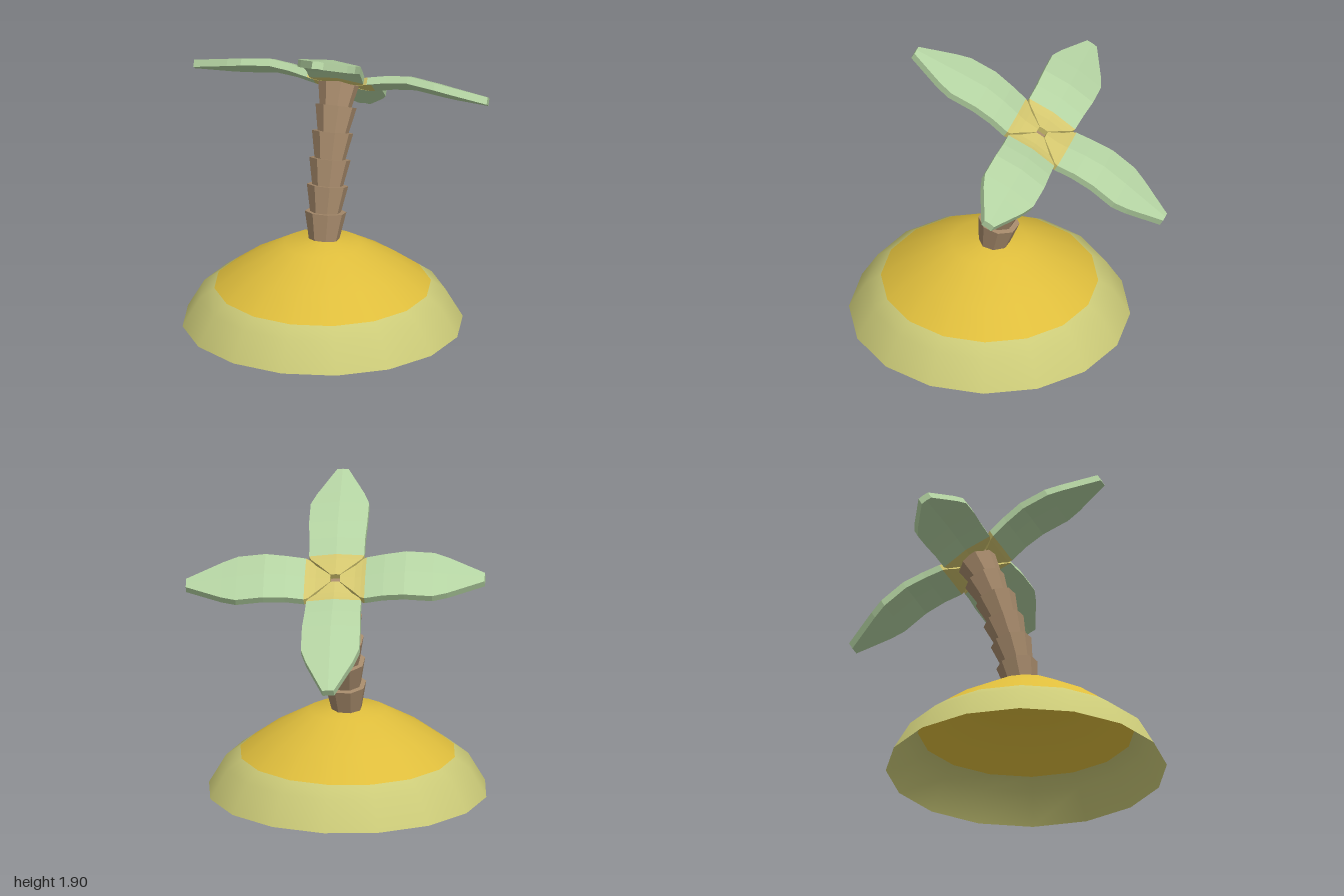
import * as THREE from 'three';

const mat = (name, color, extra = {}) => new THREE.MeshStandardMaterial({ name, color, ...extra });

export function createModel() {
  const wetSand = mat('paleSand', 0xcbca78, { side: THREE.DoubleSide });
  const drySand = mat('goldenSand', 0xdebd3c, { side: THREE.DoubleSide });
  const bark = mat('bark', 0xa68a6b, { flatShading: true });
  const leafGreen = mat('leafGreen', 0xb4d3a2, { flatShading: true });
  const leafBase = mat('leafBaseYellow', 0xd3c66e, { flatShading: true });

  const model = new THREE.Group();
  model.name = 'palmIsland';
  const add = (parent, name, geo, material) => {
    const m = new THREE.Mesh(geo, material);
    m.name = name;
    parent.add(m);
    return m;
  };

  // Hollow sand mound: pale skirt and golden top
  const island = new THREE.Group();
  island.name = 'island';
  island.position.set(-0.02, 0, 0.145);
  model.add(island);
  const lathe = pts => new THREE.LatheGeometry(pts.map(p => new THREE.Vector2(...p)), 16);
  add(island, 'moundSkirt', lathe([[0.855, 0], [0.75, 0.18], [0.661, 0.245]]), wetSand);
  add(island, 'moundTop', lathe([[0.661, 0.245], [0.49, 0.37], [0.235, 0.515], [0, 0.545]]), drySand);

  // Trunk: stacked flared segments leaning back; [top y, top z, lean]
  const trunk = new THREE.Group();
  trunk.name = 'trunk';
  model.add(trunk);
  [
    [0.698, 0.082, 0.20], [0.857, 0.043, 0.27], [1.01, -0.008, 0.32],
    [1.165, -0.062, 0.35], [1.307, -0.135, 0.42], [1.44, -0.19, 0.5],
  ].forEach(([y, z, lean], i) => {
    const geo = new THREE.CylinderGeometry(0.127, 0.093, 0.172, 8);
    geo.rotateY(Math.PI / 8).translate(0, -0.086, 0);
    const seg = add(trunk, `trunkSegment${i + 1}`, geo, bark);
    seg.position.set(-0.02, y, z);
    seg.rotation.x = -lean;
  });

  // Leaf stations: [distance from centre, half width, ridge height]
  const stations = [
    [0.03, 0.028, 0.02], [0.12, 0.11, 0.02], [0.16, 0.155, 0.026], [0.185, 0.168, 0.032],
    [0.3, 0.17, 0.056], [0.43, 0.178, 0.07], [0.6, 0.178, 0.05], [0.69, 0.145, 0.036], [0.912, 0.035, 0.004],
  ];
  const baseGeo = leafGeometry(stations.slice(0, 4));
  const bladeGeo = leafGeometry(stations.slice(3));

  // Crown of four leaves on a tilted plane
  const crown = new THREE.Group();
  crown.name = 'crown';
  crown.position.set(-0.005, 1.455, -0.205);
  crown.rotation.x = -0.512;
  model.add(crown);
  for (let k = 0; k < 4; k++) {
    const leaf = new THREE.Group();
    leaf.name = `leaf${k + 1}`;
    leaf.rotation.y = 0.1 + k * Math.PI / 2;
    add(leaf, 'leafBase', baseGeo, leafBase);
    add(leaf, 'leafBlade', bladeGeo, leafGreen);
    crown.add(leaf);
  }
  return model;
}

// Thick ridged leaf along +z, lofted from six-point cross-sections
function leafGeometry(stations) {
  const thick = 0.045, pos = [], index = [], n = 6;
  for (const [s, w, h] of stations) {
    const e = h - 0.1 * w;
    pos.push(-w, e, s, 0, h, s, w, e, s, w, e - thick, s, 0, h - thick, s, -w, e - thick, s);
  }
  for (let i = 0; i < stations.length - 1; i++) {
    for (let j = 0; j < n; j++) {
      const a = i * n + j, b = i * n + (j + 1) % n;
      index.push(a, a + n, b + n, a, b + n, b);
    }
  }
  // End caps
  const t = (stations.length - 1) * n;
  for (const [a, b, c, d] of [[0, 1, 4, 5], [1, 2, 3, 4]]) {
    index.push(a, b, c, a, c, d);
    index.push(t + a, t + c, t + b, t + a, t + d, t + c);
  }
  const indexed = new THREE.BufferGeometry();
  indexed.setAttribute('position', new THREE.Float32BufferAttribute(pos, 3));
  indexed.setIndex(index);
  const geo = indexed.toNonIndexed();
  geo.computeVertexNormals();
  return geo;
}
